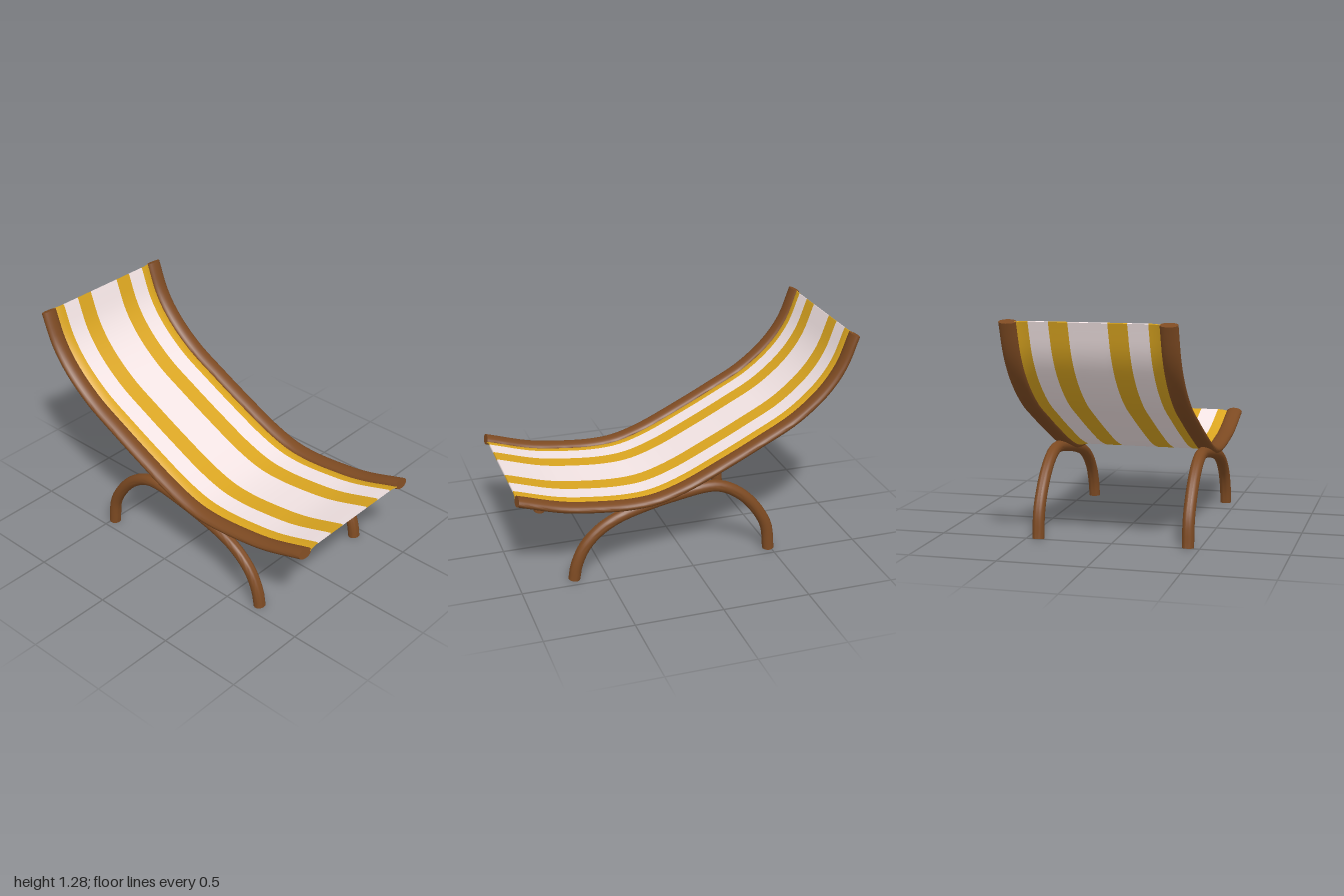
import * as THREE from 'three';
import { toCreasedNormals } from 'three/addons/utils/BufferGeometryUtils.js';

const WOOD = new THREE.MeshStandardMaterial({ color: 0x7d4a22 });
const GOLD = new THREE.MeshStandardMaterial({ color: 0xdaa520 });
const WHITE = new THREE.MeshStandardMaterial({ color: 0xf3e4e4 });

// Side profiles as [z, y], from front to back
const RAIL_PATH = [[0.99, 0.535], [0.73, 0.457], [0.54, 0.428], [0.35, 0.414], [0.2, 0.424], [0.03, 0.475],
  [-0.2, 0.58], [-0.42, 0.69], [-0.63, 0.805], [-0.8, 0.95], [-0.9, 1.09], [-0.97, 1.272]];
const LEG_PATH = [[0.685, 0], [0.67, 0.085], [0.62, 0.195], [0.54, 0.28], [0.43, 0.345], [0.25, 0.4], [0.03, 0.443],
  [-0.07, 0.457], [-0.145, 0.457], [-0.225, 0.433], [-0.33, 0.36], [-0.42, 0.25], [-0.47, 0.147], [-0.487, 0]];

// Sweeps a closed counter-clockwise section (x across, y off the path) along a side profile
function sweep(profile, section, steps) {
  const curve = new THREE.CatmullRomCurve3(profile.map(([z, y]) => new THREE.Vector3(0, y, z)));
  const n = section.length;
  const pos = [];
  const index = [];
  for (let i = 0; i <= steps; i++) {
    const p = curve.getPointAt(i / steps);
    const t = curve.getTangentAt(i / steps);
    for (const s of section) {
      pos.push(s.x, Math.max(0, p.y - t.z * s.y), p.z + t.y * s.y);
    }
  }
  for (let i = 0; i < steps; i++) {
    for (let j = 0; j < n; j++) {
      const a = i * n + j;
      const b = i * n + (j + 1) % n;
      index.push(a, a + n, b, b, a + n, b + n);
    }
  }
  // End caps
  const last = steps * n;
  for (const [a, b, c] of THREE.ShapeUtils.triangulateShape(section, [])) {
    index.push(a, b, c, last + a, last + c, last + b);
  }
  const geometry = new THREE.BufferGeometry();
  geometry.setAttribute('position', new THREE.Float32BufferAttribute(pos, 3));
  geometry.setIndex(index);
  return toCreasedNormals(geometry, 0.7);
}

function ellipse(rx, ry, sides = 24) {
  return Array.from({ length: sides }, (_, i) => {
    const a = (i / sides) * Math.PI * 2;
    return new THREE.Vector2(rx * Math.cos(a), ry * Math.sin(a));
  });
}

// Thin cloth section between two x positions; the outer edges curl down towards the rails
function clothSection(x0, x1) {
  const cuts = 6;
  const height = (x) => 0.004 - 0.012 * Math.max(0, (Math.abs(x) - 0.33) / 0.06) ** 2;
  const lower = [];
  const upper = [];
  for (let i = 0; i <= cuts; i++) {
    const x = x0 + (x1 - x0) * i / cuts;
    lower.push(new THREE.Vector2(x, height(x)));
    upper.unshift(new THREE.Vector2(x, height(x) + 0.008));
  }
  return [...lower, ...upper];
}

function addMesh(parent, name, geometry, material, x = 0) {
  const mesh = new THREE.Mesh(geometry, material);
  mesh.name = name;
  mesh.position.x = x;
  parent.add(mesh);
}

export function createModel() {
  const chair = new THREE.Group();
  chair.name = 'slingChair';

  // Wooden side rails and the arched legs beneath them
  const rail = sweep(RAIL_PATH, ellipse(0.049, 0.027), 48);
  const leg = sweep(LEG_PATH, ellipse(0.034, 0.034), 48);
  for (const [side, s] of [['left', 1], ['right', -1]]) {
    addMesh(chair, `${side}Rail`, rail, WOOD, s * 0.428);
    addMesh(chair, `${side}ArchedLeg`, leg, WOOD, s * 0.432);
  }

  // Striped cloth seat slung between the rails
  const seat = new THREE.Group();
  seat.name = 'clothSeat';
  const edges = [-0.39, -0.32, -0.21, -0.106, 0.106, 0.21, 0.32, 0.39];
  for (let i = 0; i < edges.length - 1; i++) {
    const geometry = sweep(RAIL_PATH, clothSection(edges[i], edges[i + 1]), 48);
    addMesh(seat, `stripe${i + 1}`, geometry, i % 2 ? WHITE : GOLD);
  }
  chair.add(seat);

  return chair;
}
